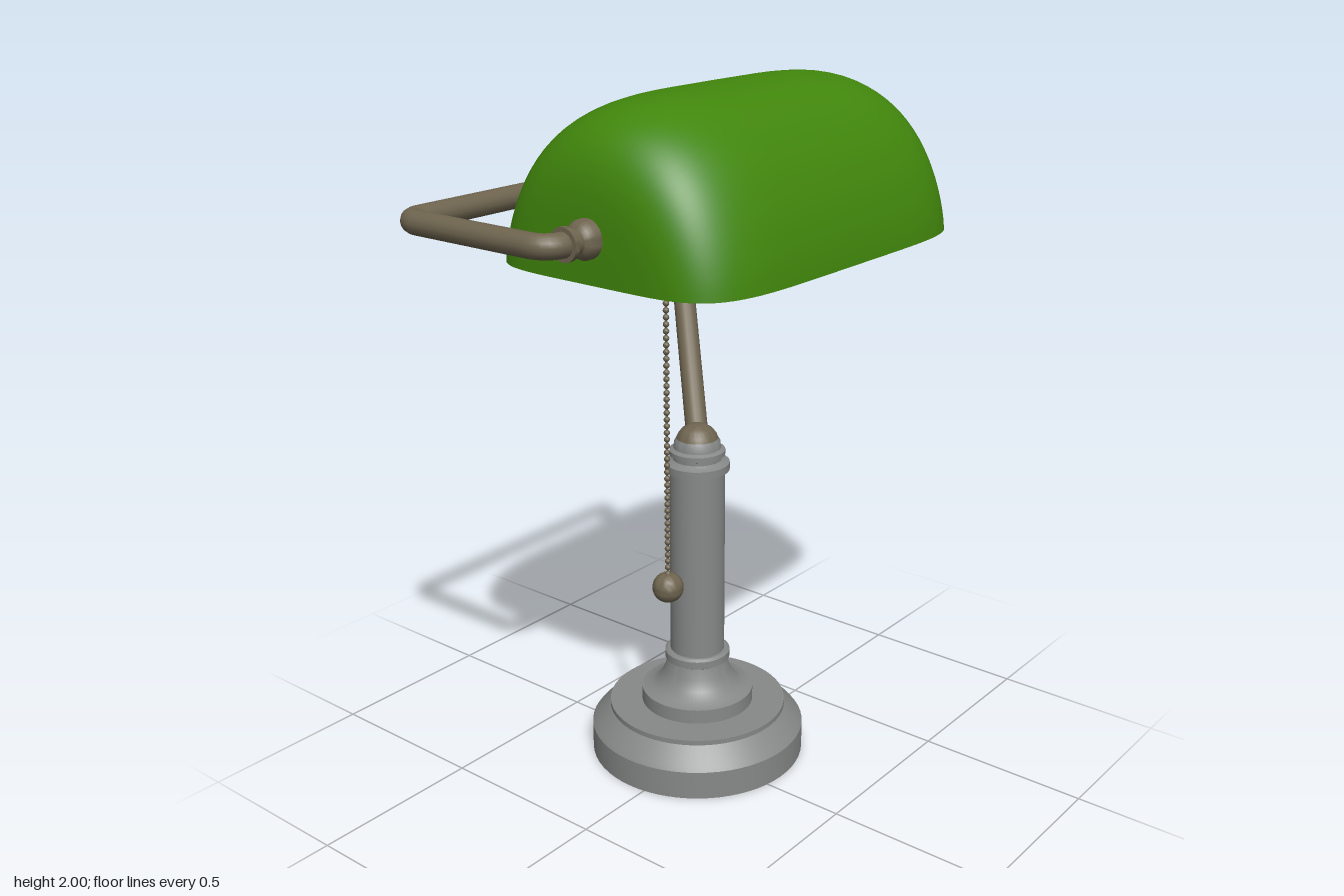
import * as THREE from 'three';
import { toCreasedNormals, mergeGeometries } from 'three/addons/utils/BufferGeometryUtils.js';

const mat = (name, color) => {
  const m = new THREE.MeshStandardMaterial({ color });
  m.name = name;
  return m;
};

// Corner-rounded polyline; each inner point carries its own rounding distance
function roundedPath(pts, radii) {
  const path = new THREE.CurvePath();
  let last = pts[0];
  for (let i = 1; i < pts.length - 1; i++) {
    const p = pts[i], r = radii[i - 1];
    const a = p.clone().add(pts[i - 1].clone().sub(p).setLength(r));
    const b = p.clone().add(pts[i + 1].clone().sub(p).setLength(r));
    path.add(new THREE.LineCurve3(last, a));
    path.add(new THREE.QuadraticBezierCurve3(a, p, b));
    last = b;
  }
  path.add(new THREE.LineCurve3(last, pts[pts.length - 1]));
  return path;
}

// Turned part from [radius, height] pairs, sharp at its steps
const lathe = (profile, segs = 48) => toCreasedNormals(
  new THREE.LatheGeometry(profile.map(([r, y]) => new THREE.Vector2(r, y)), segs), 0.6);

// Same, lying along x: pairs are [radius, x]
const latheX = (profile) => lathe(profile, 32).rotateZ(-Math.PI / 2);

// Superellipse of the shade's rim: [along, across] for t in 0..PI
const RIM_POWER = 5.4, TOP_POWER = 4.5;
const superEllipse = (t) => {
  const c = Math.cos(t), s = Math.max(0, Math.sin(t));
  return [Math.sign(c) * Math.abs(c) ** (2 / RIM_POWER), s < 1e-9 ? 0 : s ** (2 / RIM_POWER)];
};

// Half-barrel shell with half sizes a (x), b (height), c (z); walls lean in slightly
function shell(a, b, c, inward) {
  const N = 80, M = 40, pos = [], idx = [];
  for (let i = 0; i <= N; i++) {
    const [u, s] = superEllipse((i / N) * Math.PI);
    const rise = Math.max(0, 1 - Math.abs(u) ** TOP_POWER) ** (1 / TOP_POWER);
    for (let j = 0; j <= M; j++) {
      const p = (j / M) * Math.PI, h = Math.sin(p);
      const lean = 1 - 0.035 * Math.sin(Math.PI * h);
      pos.push(a * u, b * rise * h, c * s * Math.cos(p) * lean);
    }
  }
  for (let i = 0; i < N; i++) for (let j = 0; j < M; j++) {
    const k = i * (M + 1) + j, n = k + M + 1;
    if (inward) idx.push(k, n, k + 1, k + 1, n, n + 1);
    else idx.push(k, k + 1, n, k + 1, n + 1, n);
  }
  const g = new THREE.BufferGeometry();
  g.setAttribute('position', new THREE.Float32BufferAttribute(pos, 3));
  g.setIndex(idx);
  g.computeVertexNormals();
  return g;
}

function outline(a, c) {
  const pts = [];
  for (let i = 0; i < 160; i++) {
    const t = (i / 80) * Math.PI;
    const [u, s] = superEllipse(t <= Math.PI ? t : 2 * Math.PI - t);
    pts.push(new THREE.Vector2(a * u, c * s * (t <= Math.PI ? 1 : -1)));
  }
  return pts;
}

export function createModel() {
  const lamp = new THREE.Group();
  lamp.name = 'deskLamp';
  const steel = mat('steel grey', 0x878989);
  const bronze = mat('bronze', 0x6e644f);
  const green = mat('green glass', 0x41860c);
  const lining = mat('pale lining', 0xb8b8b8);
  const dark = mat('dark socket', 0x3a3a3a);

  const add = (name, geo, material, x = 0, y = 0, z = 0) => {
    const m = new THREE.Mesh(geo, material);
    m.name = name;
    m.position.set(x, y, z);
    lamp.add(m);
  };

  // Base, column and collars
  const px = 0.06, pz = -0.053;
  add('base', lathe([[0, 0], [0.317, 0], [0.317, 0.085], [0.308, 0.097], [0.262, 0.142],
    [0.262, 0.157], [0.166, 0.157], [0.166, 0.2], [0.135, 0.207], [0.112, 0.23],
    [0.097, 0.26], [0.088, 0.293], [0, 0.293]], 64), steel, px, 0, pz);
  add('column', lathe([[0.088, 0.293], [0.096, 0.298], [0.096, 0.32], [0.088, 0.326],
    [0.08, 0.326], [0.08, 0.893], [0.093, 0.896], [0.093, 0.918], [0.078, 0.922],
    [0.07, 0.928], [0.07, 0.938], [0.08, 0.942], [0.08, 0.956], [0.068, 0.962],
    [0.066, 0.98], [0.058, 0.993]]), steel, px, 0, pz);
  add('columnCap', lathe([[0.06, 0.99], [0.055, 1.002], [0.044, 1.016], [0.034, 1.023],
    [0.02, 1.03], [0, 1.033]]), bronze, px, 0, pz);

  // Bent arm reaching up, behind the shade and round to its end
  const sy = 1.685, sz = 0.073, ax = 0.371, az = -0.417;
  const V = (x, y, z) => new THREE.Vector3(x, y, z);
  const path = roundedPath([V(0.085, 1.0, -0.075), V(0.345, 1.4, -0.345), V(ax, 1.5, az), V(ax, sy, az),
    V(-0.647, sy, az), V(-0.647, sy, sz), V(-0.51, sy, sz)], [0.055, 0.06, 0.045, 0.05, 0.06]);
  add('arm', new THREE.TubeGeometry(path, 220, 0.032, 16), bronze);
  add('armFoot', new THREE.SphereGeometry(0.032, 16, 12), bronze, 0.085, 1.0, -0.075);
  add('armCollar', new THREE.CylinderGeometry(0.041, 0.041, 0.024, 24), bronze, ax, 1.584, az);

  // Shade fittings at both ends
  add('shadeBracket', latheX([[0.03, -0.596], [0.043, -0.596], [0.043, -0.582], [0.03, -0.582],
    [0.03, -0.556], [0.042, -0.548], [0.05, -0.53], [0.05, -0.5], [0, -0.5]]), bronze, 0, sy, sz);
  add('endKnob', latheX([[0.038, 0.62], [0.038, 0.643], [0.032, 0.648], [0.026, 0.649],
    [0.029, 0.658], [0.026, 0.668], [0.016, 0.676], [0, 0.678]]), bronze, 0, 1.694, sz);

  // Shade: glass outside, pale lining, rim
  const a = 0.575, b = 0.428, c = 0.391, wall = 0.023, cx = 0.062, y0 = 1.572;
  add('shade', shell(a, b, c, false), green, cx, y0, sz);
  add('shadeLining', shell(a - wall, b - wall, c - wall, true), lining, cx, y0, sz);
  const rim = new THREE.Shape(outline(a, c));
  rim.holes.push(new THREE.Path(outline(a - wall, c - wall)));
  add('shadeRim', new THREE.ShapeGeometry(rim).rotateX(Math.PI / 2), green, cx, y0, sz);

  // Bulb, socket and its mount, lying along the shade
  const bz = sz + 0.005;
  add('bulb', latheX([[0.09, -0.16], [0.104, -0.15], [0.112, -0.13], [0.126, -0.1], [0.136, -0.07],
    [0.138, -0.03], [0.138, 0.16], [0.132, 0.195], [0.115, 0.226], [0.085, 0.25], [0.045, 0.263],
    [0, 0.266]]), bronze, 0, sy, bz);
  add('socket', latheX([[0, -0.41], [0.05, -0.41], [0.062, -0.395], [0.066, -0.35], [0.078, -0.345],
    [0.078, -0.3], [0.09, -0.285], [0.1, -0.25], [0.1, -0.155], [0, -0.155]]), dark, 0, sy, bz);
  add('socketMount', latheX([[0.028, -0.52], [0.028, -0.48], [0.038, -0.477], [0.038, -0.45],
    [0.03, -0.447], [0.03, -0.435], [0.045, -0.432], [0.045, -0.405]]), steel, 0, sy, bz);

  // Pull chain of beads with a ball at the end
  const chainX = -0.232, chainZ = 0.08, beads = [];
  for (let y = 0.71; y < 1.64; y += 0.0185) {
    beads.push(new THREE.SphereGeometry(0.0085, 8, 6).translate(0, y, 0));
  }
  beads.push(new THREE.CylinderGeometry(0.003, 0.003, 0.95, 6).translate(0, 1.165, 0));
  add('pullChain', mergeGeometries(beads), bronze, chainX, 0, chainZ);
  const ball = [[0, -0.037], [0.021, -0.037]];
  for (let i = 1; i <= 12; i++) {
    const t = -1.05 + (i / 12) * (1.05 + Math.PI / 2);
    ball.push([Math.max(0, 0.043 * Math.cos(t)), 0.043 * Math.sin(t)]);
  }
  add('pullBall', lathe(ball, 24), bronze, chainX, 0.669, chainZ);

  return lamp;
}
